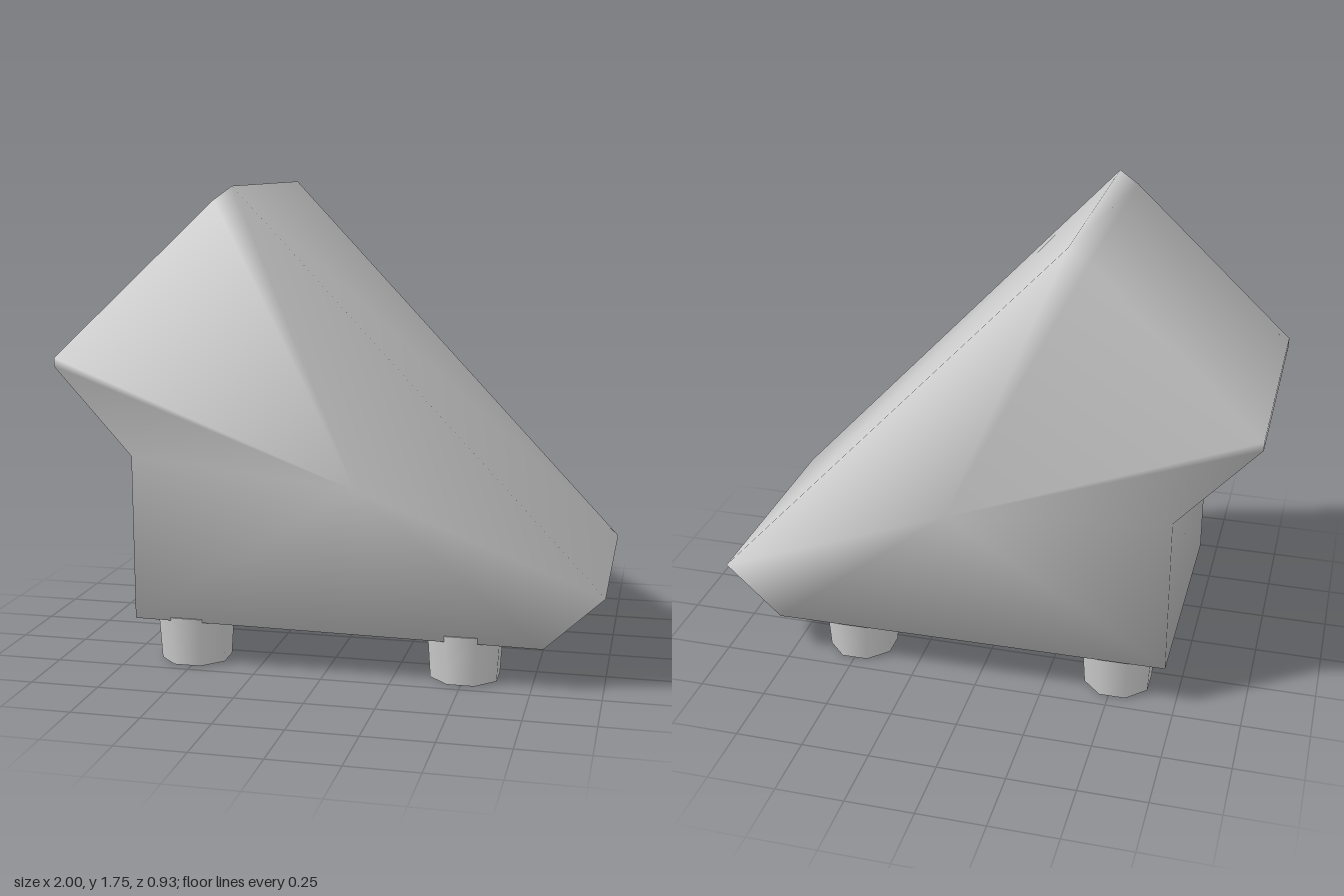
import * as THREE from 'three';

const material = new THREE.MeshStandardMaterial({ color: 0xcccccc });

// Slanted body: side outline (x, y, half depth), counter-clockwise, lofted from front to back
function bodyGeometry() {
  const outline = [
    [-0.32, 1.75, 0.456], [-0.39, 1.70, 0.458], [-1, 1.13, 0.463], [-1, 1.10, 0.465],
    [-0.71, 0.78, 0.467], [-0.71, 0.17, 0.46], [0.79, 0.155, 0.46], [1, 0.35, 0.456],
  ];
  const n = outline.length;
  const positions = [];
  const index = [];
  for (const side of [1, -1]) {
    for (const [x, y, z] of outline) positions.push(x, y, z * side);
    positions.push(0.12, 0.69, 0.467 * side); // middle of the flat side
  }
  const back = n + 1;
  for (let i = 0; i < n; i++) {
    const j = (i + 1) % n;
    index.push(n, i, j); // front side
    index.push(back + n, back + j, back + i); // back side
    index.push(i, back + i, j, j, back + i, back + j); // rim
  }
  const geometry = new THREE.BufferGeometry();
  geometry.setAttribute('position', new THREE.Float32BufferAttribute(positions, 3));
  geometry.setIndex(index);
  geometry.computeVertexNormals();
  return geometry;
}

export function createModel() {
  const model = new THREE.Group();
  model.name = 'slantedBlockOnFeet';

  const body = new THREE.Mesh(bodyGeometry(), material);
  body.name = 'body';
  model.add(body);

  // Four stubby, slightly tapered feet
  const footGeometry = new THREE.CylinderGeometry(0.142, 0.13, 0.18, 8);
  footGeometry.rotateY(Math.PI / 8);
  footGeometry.translate(0, 0.09, 0);
  for (const [end, x] of [['right', -0.515], ['left', 0.5]]) {
    for (const [side, z] of [['front', 0.335], ['back', -0.32]]) {
      const foot = new THREE.Mesh(footGeometry, material);
      foot.name = `${side}${end === 'left' ? 'Left' : 'Right'}Foot`;
      foot.position.set(x, 0, z);
      model.add(foot);
    }
  }
  return model;
}
